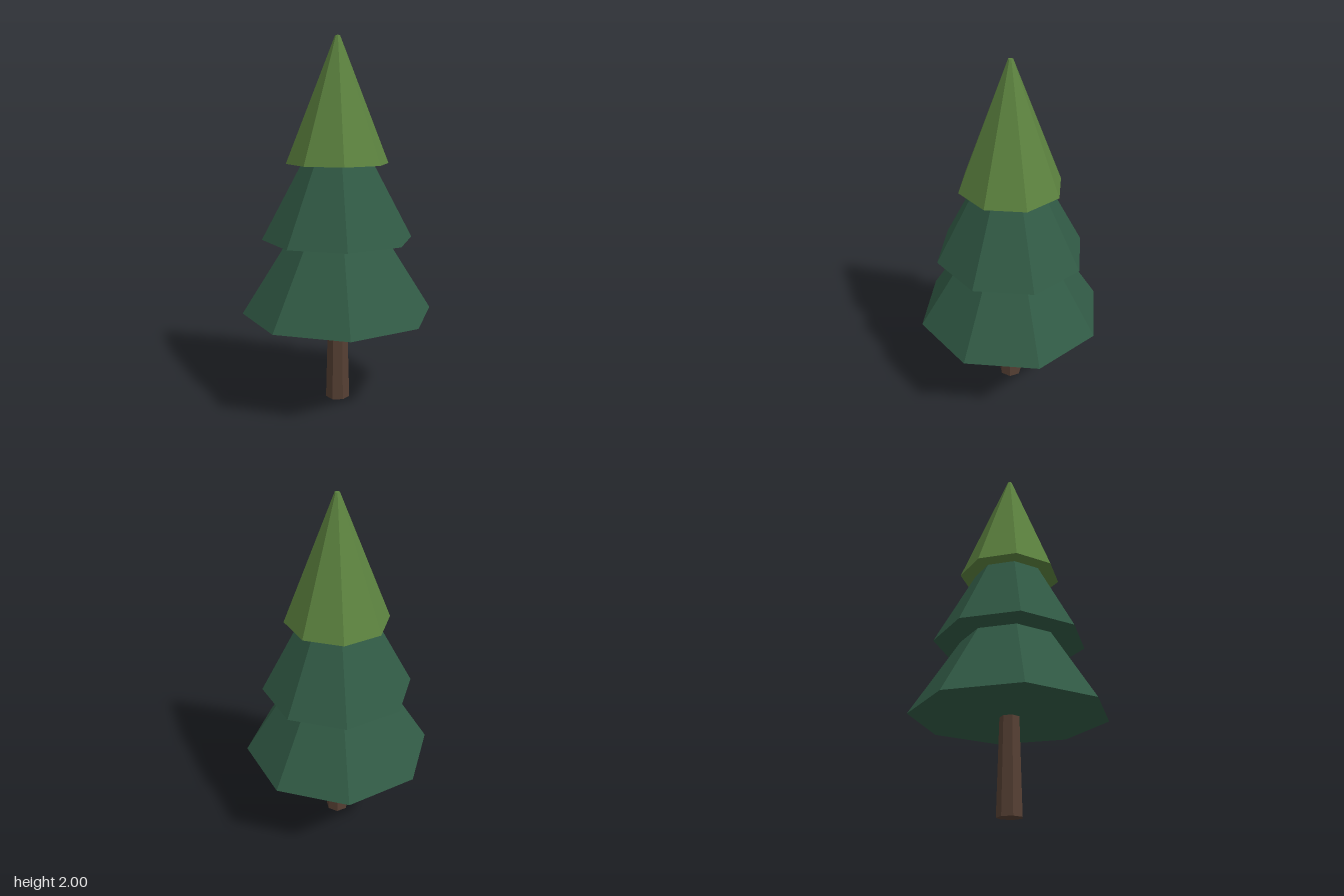
import * as THREE from 'three';

function material(name, color) {
  const m = new THREE.MeshStandardMaterial({ color, flatShading: true });
  m.name = name;
  return m;
}

// Faceted frustum standing on height y
function frustum(name, mat, y, height, rBottom, rTop, sides, turn = 0) {
  const geometry = new THREE.CylinderGeometry(rTop, rBottom, height, sides);
  geometry.rotateY(turn);
  geometry.translate(0, y + height / 2, 0);
  const mesh = new THREE.Mesh(geometry, mat);
  mesh.name = name;
  return mesh;
}

export function createModel() {
  const bark = material('bark brown', 0x553f33);
  const darkGreen = material('dark green needles', 0x315a45);
  const lightGreen = material('light green needles', 0x5c823f);

  const tree = new THREE.Group();
  tree.name = 'pineTree';
  tree.add(
    // Seven-sided tapered trunk with an edge at the back
    frustum('trunk', bark, 0, 0.51, 0.068, 0.054, 7, Math.PI),
    // Eight-sided foliage tiers, each tucked into the one above
    frustum('lowerFoliage', darkGreen, 0.505, 0.55, 0.528, 0.182, 8),
    frustum('middleFoliage', darkGreen, 0.917, 0.55, 0.415, 0.122, 8),
    frustum('topFoliage', lightGreen, 1.328, 0.672, 0.28, 0.013, 8)
  );
  return tree;
}
